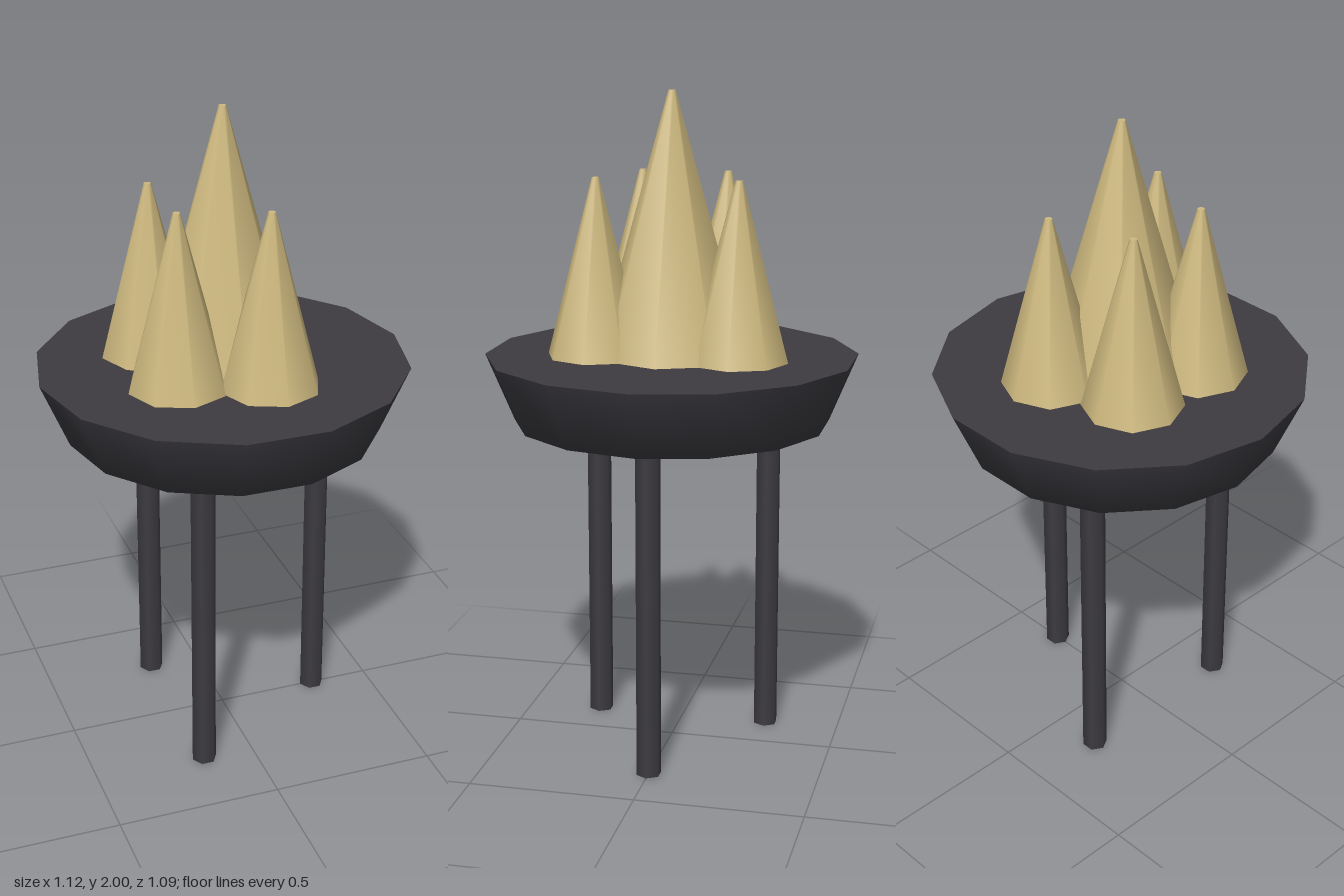
import * as THREE from 'three';

const iron = new THREE.MeshStandardMaterial({ name: 'dark iron', color: 0x3d3b41 });
const gold = new THREE.MeshStandardMaterial({ name: 'pale gold', color: 0xcdb87e });

const RIM_Y = 1.22;

function add(parent, name, geometry, material, x = 0, y = 0, z = 0) {
  const mesh = new THREE.Mesh(geometry, material);
  mesh.name = name;
  mesh.position.set(x, y, z);
  parent.add(mesh);
  return mesh;
}

// Eight-sided tapering flame, its foot sunk slightly into the bowl's top
function flame(parent, name, radius, topY, x, z) {
  const sink = 0.01, tip = 0.011;
  const height = topY - RIM_Y + sink;
  const foot = radius + (radius - tip) * sink / (topY - RIM_Y);
  const geometry = new THREE.CylinderGeometry(tip, foot, height, 8);
  add(parent, name, geometry, gold, x, RIM_Y - sink + height / 2, z);
}

export function createModel() {
  const model = new THREE.Group();
  model.name = 'brazier';

  // Fourteen-sided bowl: turned wall, flat top and flat underside
  const bowl = new THREE.Group();
  bowl.name = 'bowl';
  bowl.rotation.y = Math.PI / 2;
  model.add(bowl);
  const profile = [[0.13, 0.93], [0.475, 1.017], [0.56, RIM_Y]];
  const wall = new THREE.LatheGeometry(profile.map(p => new THREE.Vector2(...p)), 14);
  add(bowl, 'bowlWall', wall, iron);
  const disc = (r) => new THREE.CircleGeometry(r, 14).rotateZ(Math.PI / 2);
  add(bowl, 'bowlTop', disc(0.56).rotateX(-Math.PI / 2), iron, 0, RIM_Y, 0);
  add(bowl, 'bowlBase', disc(0.13).rotateX(Math.PI / 2), iron, 0, 0.93, 0);

  // Three upright six-sided legs
  for (let i = 0; i < 3; i++) {
    const a = i * Math.PI * 2 / 3;
    const geometry = new THREE.CylinderGeometry(0.038, 0.038, 1.0, 6).rotateY(Math.PI / 2);
    add(model, 'leg' + (i + 1), geometry, iron, 0.312 * Math.cos(a), 0.5, 0.312 * Math.sin(a));
  }

  // Tall central flame with four smaller ones on a five-point ring, one place left empty
  flame(model, 'centreFlame', 0.23, 2, 0, 0);
  for (let i = 1; i < 5; i++) {
    const a = i * Math.PI * 2 / 5;
    flame(model, 'sideFlame' + i, 0.15, 1.75, 0.225 * Math.cos(a), 0.225 * Math.sin(a));
  }
  return model;
}
